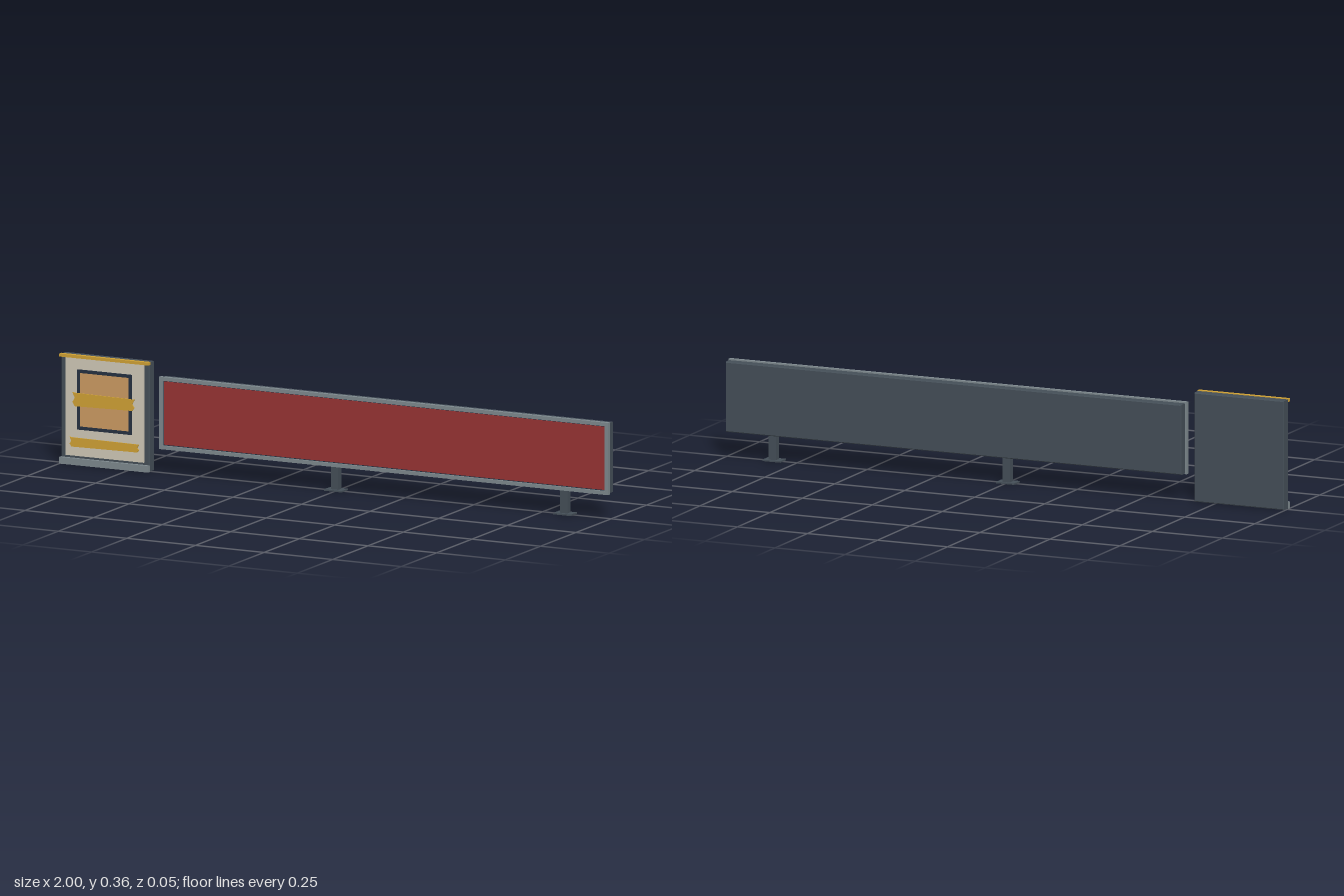
import * as THREE from 'three';

const material = (name, color) => {
  const m = new THREE.MeshStandardMaterial({ color });
  m.name = name;
  return m;
};

export function createModel() {
  const dark = material('dark steel', 0x444e57);
  const grey = material('grey trim', 0x7d888d);
  const red = material('red panel', 0x963333);
  const cream = material('cream panel', 0xcfc8b6);
  const orange = material('orange face', 0xcc9a62);
  const gold = material('gold', 0xcfa134);
  const navy = material('dark border', 0x253040);

  const model = new THREE.Group();
  model.name = 'signboards';

  const add = (parent, name, geometry, mat) => {
    const mesh = new THREE.Mesh(geometry, mat);
    mesh.name = name;
    parent.add(mesh);
    return mesh;
  };

  // Box given by its limits on each axis
  const box = (parent, name, mat, [x0, x1], [y0, y1], [z0, z1]) => {
    const mesh = add(parent, name, new THREE.BoxGeometry(x1 - x0, y1 - y0, z1 - z0), mat);
    mesh.position.set((x0 + x1) / 2, (y0 + y1) / 2, (z0 + z1) / 2);
    return mesh;
  };

  // Flat-fronted case with chamfered edges
  const caseBox = (parent, name, mat, [x0, x1], [y0, y1], [z0, z1], c = 0.003) => {
    const s = new THREE.Shape([
      [x0 + c, y0 + c], [x1 - c, y0 + c], [x1 - c, y1 - c], [x0 + c, y1 - c],
    ].map(([x, y]) => new THREE.Vector2(x, y)));
    const g = new THREE.ExtrudeGeometry(s, {
      depth: z1 - z0 - 2 * c, bevelSize: c, bevelThickness: c, bevelSegments: 1,
    });
    g.translate(0, 0, z0 + c);
    return add(parent, name, g, mat);
  };

  // Rectangular frame of four bars
  const frame = (parent, name, mat, [x0, x1], [y0, y1], z, w) => {
    const group = new THREE.Group();
    group.name = name;
    box(group, 'bottomBar', mat, [x0, x1], [y0, y0 + w], z);
    box(group, 'topBar', mat, [x0, x1], [y1 - w, y1], z);
    box(group, 'rightBar', mat, [x0, x0 + w], [y0 + w, y1 - w], z);
    box(group, 'leftBar', mat, [x1 - w, x1], [y0 + w, y1 - w], z);
    parent.add(group);
  };

  // Thin ribbon with slightly notched ends
  const ribbon = (parent, name, x0, x1, y0, y1, z, notch) => {
    const h = y1 - y0;
    const s = new THREE.Shape([
      [x0 + notch, y0], [x1 - notch, y0 + h * 0.08], [x1, y0 + h * 0.3], [x1 - notch, y0 + h * 0.55],
      [x1, y1 - h * 0.1], [x0 + notch, y1 - h * 0.04], [x0, y1], [x0 + notch, y0 + h * 0.6], [x0, y0 + h * 0.3],
    ].map(([x, y]) => new THREE.Vector2(x, y)));
    const g = new THREE.ExtrudeGeometry(s, { depth: 0.004, bevelEnabled: false });
    g.translate(0, 0, z);
    add(parent, name, g, gold);
  };

  // Long red board
  const board = new THREE.Group();
  board.name = 'longBoard';
  model.add(board);
  caseBox(board, 'boardCase', dark, [-0.632, 0.996], [0.085, 0.317], [-0.022, 0.011]);
  frame(board, 'boardFrame', grey, [-0.636, 1], [0.082, 0.321], [0.010, 0.023], 0.012);
  box(board, 'redPanel', red, [-0.621, 0.985], [0.097, 0.306], [0.010, 0.018]);
  box(board, 'panelGasket', navy, [-0.625, 0.989], [0.093, 0.310], [0.010, 0.015]);

  // Feet under the board
  for (const x of [-0.003, 0.832]) {
    const foot = new THREE.Group();
    foot.name = 'foot';
    foot.position.x = x;
    box(foot, 'post', dark, [-0.013, 0.013], [0.004, 0.09], [-0.014, 0.010]);
    box(foot, 'basePlate', dark, [-0.032, 0.032], [0, 0.005], [-0.022, 0.022]);
    model.add(foot);
  }

  // Small square sign
  const sign = new THREE.Group();
  sign.name = 'squareSign';
  model.add(sign);
  caseBox(sign, 'signCase', dark, [-0.998, -0.677], [0.001, 0.362], [-0.022, 0.012]);
  box(sign, 'creamPanel', cream, [-0.979, -0.695], [0.030, 0.353], [0.010, 0.018]);
  box(sign, 'bottomRail', grey, [-1, -0.675], [0, 0.022], [0.010, 0.023]);
  box(sign, 'topRail', gold, [-1, -0.675], [0.354, 0.364], [0.009, 0.023]);

  // Emblem-like square and ribbons on the sign
  frame(sign, 'squareBorder', navy, [-0.936, -0.737], [0.118, 0.317], [0.017, 0.0205], 0.011);
  box(sign, 'orangeSquare', orange, [-0.925, -0.748], [0.129, 0.306], [0.017, 0.0198]);
  ribbon(sign, 'middleRibbon', -0.952, -0.726, 0.195, 0.241, 0.0195, 0.009);
  ribbon(sign, 'lowerRibbon', -0.963, -0.711, 0.060, 0.092, 0.0175, 0.006);

  return model;
}
